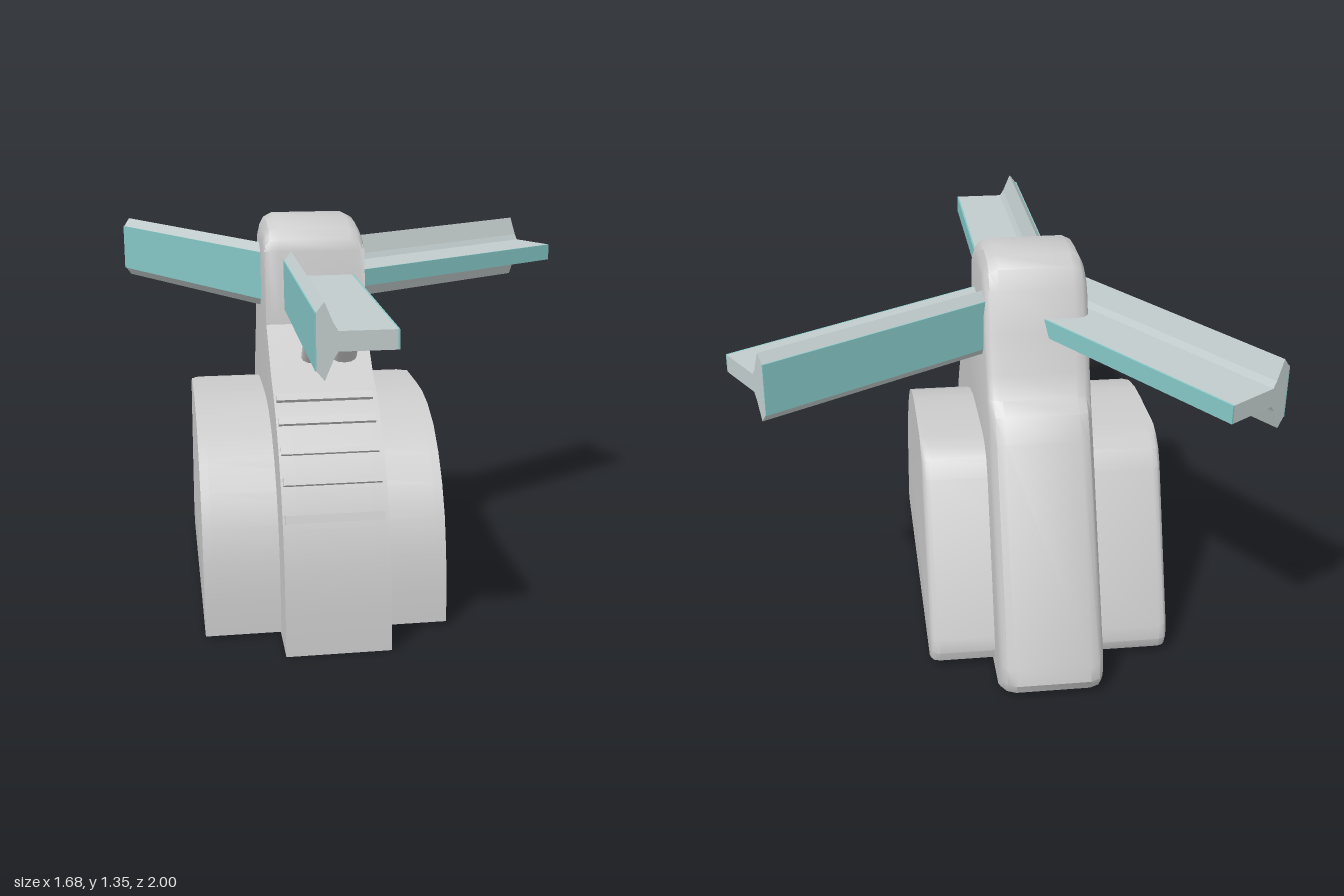
import * as THREE from 'three';
import { toCreasedNormals } from 'three/addons/utils/BufferGeometryUtils.js';

const grey = new THREE.MeshStandardMaterial({ color: 0xcccccc, side: THREE.DoubleSide });
const bladeGrey = new THREE.MeshStandardMaterial({ color: 0xc2cccc });
const teal = new THREE.MeshStandardMaterial({ color: 0x86c8c8 });

function add(parent, name, geometry, material = grey) {
  const mesh = new THREE.Mesh(geometry, material);
  mesh.name = name;
  parent.add(mesh);
  return mesh;
}

// Side profile [z, y, insetZ, insetY] swept across x; the insets round its outer edges.
function sweptProfile(profile, x0, x1, bevel) {
  const half = [[0, 1], [0.12, 0.6], [0.4, 0.22], [1, 0]];
  const layers = [
    ...half.map(([d, f]) => [x0 + d * bevel, f]),
    ...half.slice().reverse().map(([d, f]) => [x1 - d * bevel, f]),
  ];
  const rings = layers.map(([x, f]) => profile.map(([z, y, dz = 0, dy = 0]) => [x, y + dy * f, z + dz * f]));
  const out = [];
  const n = profile.length;
  for (let k = 0; k < rings.length - 1; k++) {
    for (let i = 0; i < n; i++) {
      const j = (i + 1) % n;
      const a = rings[k][i], b = rings[k][j], c = rings[k + 1][i], d = rings[k + 1][j];
      out.push(...a, ...c, ...b, ...b, ...c, ...d);
    }
  }
  // End caps
  const first = rings[0], last = rings[rings.length - 1];
  const faces = THREE.ShapeUtils.triangulateShape(first.map((p) => new THREE.Vector2(p[2], p[1])), []);
  for (const [a, b, c] of faces) {
    out.push(...first[a], ...first[b], ...first[c], ...last[a], ...last[c], ...last[b]);
  }
  const geometry = new THREE.BufferGeometry();
  geometry.setAttribute('position', new THREE.Float32BufferAttribute(out, 3));
  return toCreasedNormals(geometry, 0.6);
}

// Blade running along its own +z: a flat plate with an upright flange on one edge.
function makeBlade(name, x, z, angle, side) {
  const blade = new THREE.Group();
  blade.name = name;
  const section = [
    [-0.119, -0.085], [-0.095, -0.115], [-0.068, -0.05], [-0.055, -0.03], [0.118, -0.03],
    [0.118, 0.03], [-0.055, 0.03], [-0.068, 0.05], [-0.095, 0.115], [-0.119, 0.085],
  ];
  const shape = new THREE.Shape(section.map(([u, v]) => new THREE.Vector2(u * side, v)));
  add(blade, 'bladeCore', new THREE.ExtrudeGeometry(shape, { depth: 1, bevelEnabled: false }), bladeGrey);
  add(blade, 'flangeFace', new THREE.BoxGeometry(0.004, 0.17, 1), teal).position.set(-0.121 * side, 0, 0.5);
  add(blade, 'plateEdge', new THREE.BoxGeometry(0.006, 0.06, 1), teal).position.set(0.12 * side, 0, 0.5);
  blade.position.set(x, 1.126, z);
  blade.rotation.y = angle;
  return blade;
}

export function createModel() {
  const model = new THREE.Group();
  model.name = 'windmill';

  // Central tower with curved front, rounded head and sloping back ridge
  const tower = [
    [0.68, 0], [0.675, 0.15], [0.66, 0.29], [0.63, 0.42], [0.58, 0.54], [0.51, 0.65], [0.43, 0.74],
    [0.36, 0.795], [0.28, 0.84], [0.11, 0.99],
    [0.08, 1.24], [0.07, 1.28, -0.01, -0.03], [0.04, 1.315, 0, -0.05], [-0.02, 1.34, 0, -0.07],
    [-0.11, 1.347, 0, -0.075], [-0.2, 1.342, 0, -0.07], [-0.25, 1.31, 0.02, -0.05], [-0.285, 1.25, 0.03, -0.02],
    [-0.33, 1.12, 0.03, 0], [-0.38, 0.99, 0.03, 0], [-0.415, 0.91, 0.03, 0], [-0.47, 0.875, 0.06, -0.02],
    [-0.52, 0.8, 0.07, -0.02], [-0.835, 0.12, 0.06, 0], [-0.845, 0.065, 0.06, 0], [-0.825, 0.025, 0.06, 0],
    [-0.78, 0.002, 0.04, 0],
  ];
  add(model, 'tower', sweptProfile(tower, -0.345, 0.005, 0.05));

  // Wide lower housing on both sides of the tower
  const housing = [
    [0.51, 0.012], [0.507, 0.13], [0.492, 0.26], [0.46, 0.38], [0.41, 0.48], [0.34, 0.57], [0.25, 0.645],
    [0.14, 0.692], [0.04, 0.712], [-0.05, 0.716], [-0.26, 0.715], [-0.32, 0.705, 0.01, -0.01],
    [-0.37, 0.675, 0.02, -0.01], [-0.41, 0.62, 0.03, 0], [-0.635, 0.12, 0.03, 0], [-0.645, 0.07, 0.03, 0],
    [-0.63, 0.03, 0.03, 0], [-0.59, 0.013, 0.02, 0],
  ];
  add(model, 'lowerHousing', sweptProfile(housing, -0.6, 0.225, 0.03));

  // Narrow steps climbing the curved front: z, y, slope
  const steps = [[0.625, 0.455, 0.3], [0.573, 0.565, 0.5], [0.505, 0.645, 0.65], [0.435, 0.725, 0.75], [0.365, 0.785, 0.85]];
  for (const [z, y, tilt] of steps) {
    const step = add(model, 'step', new THREE.BoxGeometry(0.325, 0.026, 0.04));
    step.position.set(-0.175, y, z);
    step.rotation.x = -tilt;
  }

  // Pair of oval struts from the tower up to the front blade
  const low = new THREE.Vector3(0, 0.85, 0.18), high = new THREE.Vector3(0, 1.115, 0.41);
  const along = high.clone().sub(low);
  for (const x of [-0.192, -0.087]) {
    const strut = add(model, 'strut', new THREE.CylinderGeometry(0.044, 0.044, along.length(), 12));
    strut.scale.z = 0.6;
    strut.rotation.x = Math.atan2(along.z, along.y);
    strut.position.copy(low).add(high).multiplyScalar(0.5).setX(x);
  }

  // Three blades fixed into the head
  model.add(
    makeBlade('frontBlade', -0.157, 0, 0, 1),
    makeBlade('leftBlade', -0.09, -0.085, (Math.PI * 2) / 3, -1),
    makeBlade('rightBlade', -0.195, -0.096, 3.718, -1),
  );
  return model;
}
